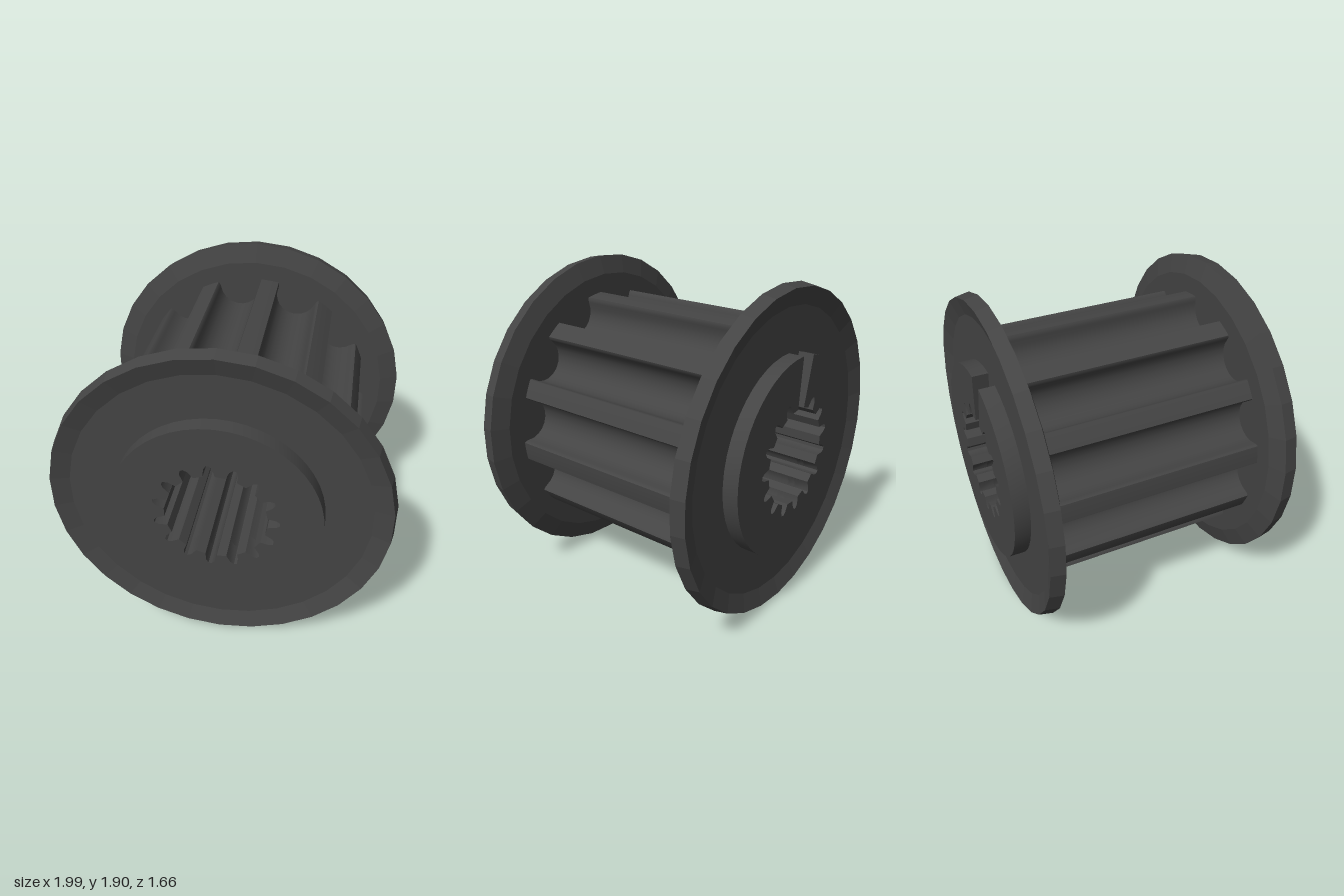
import * as THREE from 'three';
import { toCreasedNormals } from 'three/addons/utils/BufferGeometryUtils.js';

const RAD = Math.PI / 180;
const polar = (r, deg) => new THREE.Vector2(r * Math.cos(deg * RAD), r * Math.sin(deg * RAD));

// arc of points, counter-clockwise
function arc(r, from, to, n) {
  return Array.from({ length: n + 1 }, (_, i) => polar(r, from + (to - from) * i / n));
}

// splined bore: 15 rounded grooves, six points each
function borePoints() {
  const groove = [[0.28, -6.5], [0.325, -4.2], [0.345, -1.5], [0.345, 1.5], [0.325, 4.2], [0.28, 6.5]];
  const pts = [];
  for (let k = 0; k < 15; k++) for (const [r, a] of groove) pts.push(polar(r, k * 24 + a));
  return pts;
}

// belt drum outline: 12 round-bottomed grooves separated by narrow lands
function drumPoints() {
  const groove = [[0.722, -0.137], [0.711, -0.129]];
  for (let i = 0; i <= 10; i++) {
    const a = Math.PI * i / 10;
    groove.push([0.692 - 0.125 * Math.sin(a), -0.125 * Math.cos(a)]);
  }
  groove.push([0.711, 0.129], [0.722, 0.137]);
  const pts = [];
  for (let k = 0; k < 12; k++) {
    const c = 7.8 + k * 30;
    for (const [r, t] of groove) pts.push(new THREE.Vector2(r, t).rotateAround(new THREE.Vector2(), c * RAD));
    pts.push(polar(0.735, c + 13), polar(0.735, c + 17));
  }
  return pts;
}

export function createModel() {
  const model = new THREE.Group();
  model.name = 'timingPulley';
  const material = new THREE.MeshStandardMaterial({ color: 0x444444 });
  const flat = new THREE.MeshStandardMaterial({ color: 0x444444, flatShading: true });

  const pulley = new THREE.Group();
  pulley.name = 'pulley';
  pulley.position.y = 0.95;
  pulley.rotation.y = -0.085;
  model.add(pulley);

  function add(name, geometry, mat) {
    const mesh = new THREE.Mesh(geometry, mat);
    mesh.name = name;
    pulley.add(mesh);
  }

  // extrude an outline between two positions along the axle
  function slab(name, outline, z0, z1, bored = true) {
    const shape = new THREE.Shape(outline);
    if (bored) shape.holes.push(new THREE.Path(borePoints()));
    const geo = new THREE.ExtrudeGeometry(shape, { depth: z1 - z0, bevelEnabled: false });
    geo.translate(0, 0, z0);
    add(name, toCreasedNormals(geo, 32 * RAD), material);
  }

  // grooved drum and front hub
  slab('toothedDrum', drumPoints(), -0.65, 0.65);
  slab('frontHub', arc(0.575, 0, 360, 48).slice(0, -1), 0.65, 0.783);

  // back hub: full base, then a raised ring with one open slot
  slab('backHubBase', arc(0.555, 0, 360, 48).slice(0, -1), -0.692, -0.65);
  const bore = borePoints();
  const inner = Array.from({ length: 86 }, (_, i) => bore[(29 + i) % 90]).reverse();
  slab('slottedBackHub', [...arc(0.575, 103.5, 452.5, 47), ...inner], -0.783, -0.692, false);

  // flared flanges, mirrored front and back
  const profile = [
    [0.55, 0.612], [0.84, 0.612], [0.948, 0.645], [0.932, 0.725], [0.83, 0.692], [0.55, 0.692],
  ].map(([r, y]) => new THREE.Vector2(r, y));
  for (const side of [1, -1]) {
    const geo = new THREE.LatheGeometry(profile, 30);
    geo.rotateX(side * Math.PI / 2);
    add(side > 0 ? 'frontFlange' : 'backFlange', geo, flat);
  }
  return model;
}
